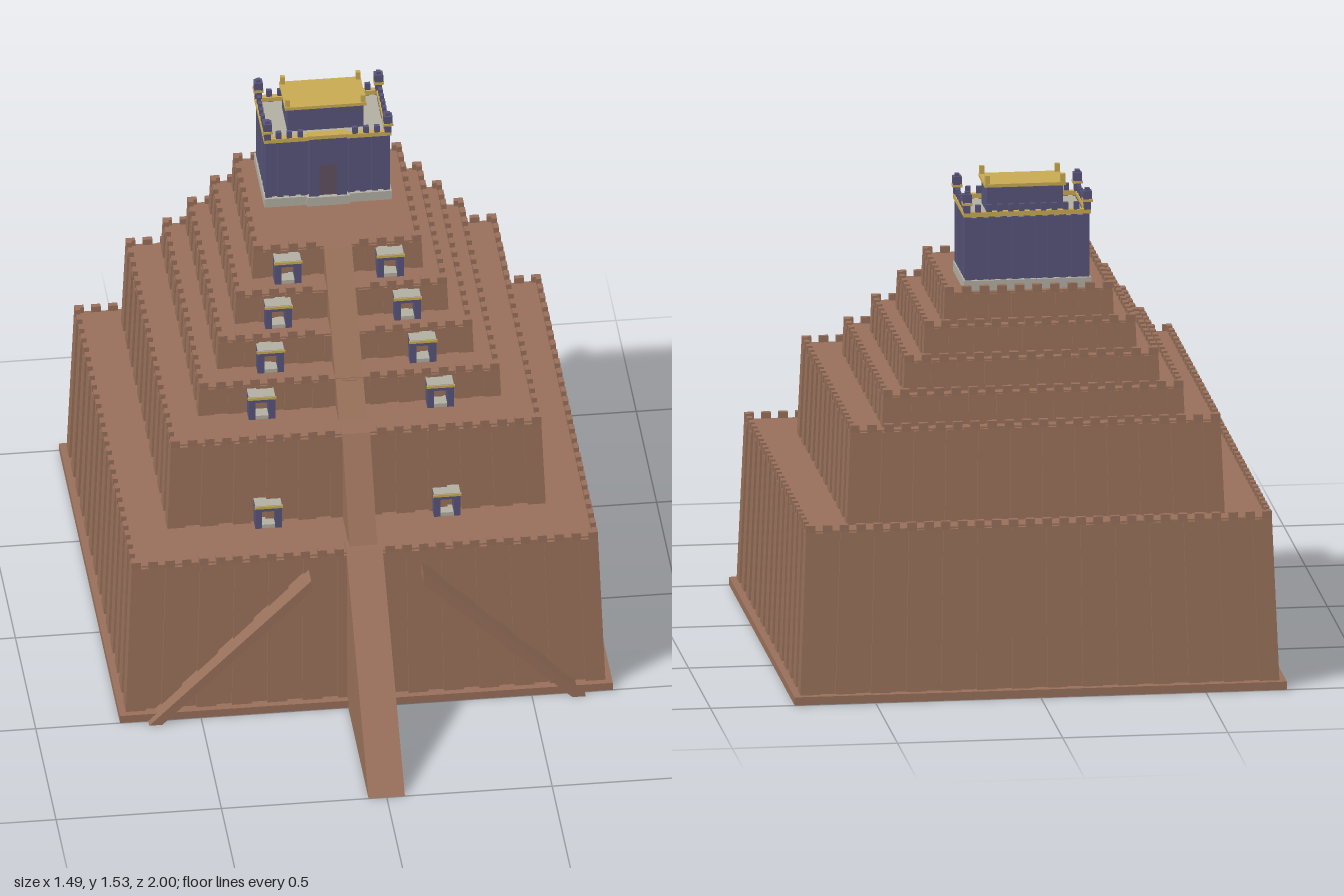
import * as THREE from 'three';
import { mergeGeometries } from 'three/addons/utils/BufferGeometryUtils.js';

const material = (name, color) => {
  const m = new THREE.MeshStandardMaterial({ color });
  m.name = name;
  return m;
};

export function createModel() {
  const brick = material('brick', 0x98705a);
  const indigo = material('indigo glaze', 0x57547a);
  const gold = material('gold', 0xc9aa52);
  const stone = material('pale stone', 0xb2aea2);
  const wood = material('door wood', 0x5f5060);

  const model = new THREE.Group();
  model.name = 'steppedTemple';

  const add = (parent, name, geos, mat) => {
    const mesh = new THREE.Mesh(Array.isArray(geos) ? mergeGeometries(geos) : geos, mat);
    mesh.name = name;
    parent.add(mesh);
    return mesh;
  };
  const group = (parent, name) => {
    const g = new THREE.Group();
    g.name = name;
    parent.add(g);
    return g;
  };
  // Box given by its centre in x and z and its bottom in y
  const box = (w, h, d, x, y, z) => new THREE.BoxGeometry(w, h, d).translate(x, y + h / 2, z);

  // Shrinks a geometry towards the y axis as it rises, so walls lean inwards
  const lean = (geo, h, k) => {
    const p = geo.attributes.position;
    for (let i = 0; i < p.count; i++) {
      const f = 1 - k * p.getY(i) / h;
      p.setX(i, p.getX(i) * f);
      p.setZ(i, p.getZ(i) * f);
    }
    geo.computeVertexNormals();
    return geo;
  };

  // Evenly spaced boxes along all four walls, leaving an optional gap at the front centre
  const rim = (hx, hz, pitch, width, h, depth, y, gap = 0) => {
    const out = [];
    for (const s of [-1, 1]) {
      const nx = Math.round((2 * hx - width) / pitch);
      for (let i = 0; i <= nx; i++) {
        const x = -hx + width / 2 + i * (2 * hx - width) / nx;
        if (s > 0 && Math.abs(x) < gap) continue;
        out.push(box(width, h, depth, x, y, s * (hz - depth / 2)));
      }
      const nz = Math.round((2 * hz - width) / pitch);
      for (let i = 0; i <= nz; i++) {
        const z = -hz + width / 2 + i * (2 * hz - width) / nz;
        out.push(box(depth, h, width, s * (hx - depth / 2), y, z));
      }
    }
    return out;
  };

  // Side profile in (z, y) extruded across x
  const wedge = (points, width) => new THREE.ExtrudeGeometry(
    new THREE.Shape(points.map(([z, y]) => new THREE.Vector2(z, y))),
    { depth: width, bevelEnabled: false },
  ).translate(0, 0, -width / 2).rotateY(-Math.PI / 2);

  add(model, 'plinth', box(1.49, 0.025, 1.5, 0, 0, -0.25), brick);

  // Terraces: bottom, top, half width, half depth, centre z, inward lean, buttress pitch
  const tiers = [
    [0.025, 0.525, 0.725, 0.73, -0.25, 0.02, 0.11],
    [0.525, 0.81, 0.572, 0.572, -0.315, 0.012, 0.1],
    [0.81, 0.905, 0.458, 0.46, -0.373, 0.004, 0.09],
    [0.905, 1.0, 0.388, 0.388, -0.405, 0.004, 0.08],
    [1.0, 1.095, 0.323, 0.323, -0.435, 0.004, 0.08],
    [1.095, 1.19, 0.258, 0.26, -0.467, 0.004, 0.07],
  ];
  tiers.forEach(([y0, y1, hx, hz, cz, inset, pitch], i) => {
    const h = y1 - y0;
    const k = inset / hx;
    const out = i < 2 ? 0.01 : 0.005;
    const tier = group(model, `terrace${i + 1}`);
    tier.position.set(0, y0, cz);
    add(tier, 'terraceBody', lean(box(2 * (hx - out), h, 2 * (hz - out), 0, 0, 0), h, k), brick);
    add(tier, 'buttresses',
      rim(hx, hz, pitch, pitch * 0.55, h - 0.005, 0.03, 0).map((g) => lean(g, h, k)), brick);
    add(tier, 'battlements',
      rim(hx - inset, hz - inset, 0.052, 0.028, 0.025, 0.016, h - 0.006, 0.06), brick);
  });

  // Central ramps climbing the front
  add(model, 'lowerRamp', wedge([[1, 0], [0.45, 0.53], [0.4, 0.53], [0.4, 0]], 0.11), brick);
  add(model, 'middleRamp', wedge([[0.43, 0.525], [0.245, 0.815], [0.2, 0.815], [0.2, 0.525]], 0.084), brick);
  add(model, 'upperRamp', wedge([[0.17, 0.808], [-0.2, 1.192], [-0.25, 1.192], [-0.25, 0.808]], 0.084), brick);

  // Slanted side stairs against the front wall
  for (const s of [-1, 1]) {
    const pts = [[0.66, 0], [0.17, 0.48], [0.17, 0.44], [0.62, 0]].map(([x, y]) => new THREE.Vector2(s * x, y));
    const geo = new THREE.ExtrudeGeometry(new THREE.Shape(pts), { depth: 0.075, bevelEnabled: false });
    add(model, s > 0 ? 'leftStair' : 'rightStair', geo.translate(0, 0, 0.45), brick);
  }

  // Small gatehouses in pairs: x, floor y, back z
  const gates = [
    [0.27, 0.525, 0.25], [0.27, 0.81, 0.088], [0.23, 0.905, -0.018],
    [0.195, 1.0, -0.112], [0.155, 1.095, -0.207],
  ];
  for (const [x, y, z] of gates) {
    for (const s of [-1, 1]) {
      const gate = group(model, 'gatehouse');
      gate.position.set(s * x, y, z + 0.015);
      add(gate, 'gateWalls', [
        box(0.02, 0.06, 0.05, -0.03, 0, 0),
        box(0.02, 0.06, 0.05, 0.03, 0, 0),
        box(0.08, 0.018, 0.05, 0, 0.06, 0),
      ], indigo);
      add(gate, 'gateThreshold', box(0.04, 0.012, 0.046, 0, 0, 0), stone);
      add(gate, 'gateRoof', box(0.08, 0.004, 0.05, 0, 0.077, 0), stone);
      add(gate, 'gateTrim', box(0.086, 0.008, 0.006, 0, 0.071, 0.025), gold);
    }
  }

  // Shrine on the summit
  const shrine = group(model, 'shrine');
  shrine.position.set(0, 1.19, -0.572);
  add(shrine, 'shrineBase', [
    box(0.385, 0.03, 0.255, 0, 0, 0),
    box(0.13, 0.03, 0.03, 0, 0, 0.122),
  ], stone);
  add(shrine, 'shrineWalls', box(0.362, 0.195, 0.228, 0, 0.025, 0), indigo);
  add(shrine, 'shrinePilasters', rim(0.188, 0.12, 0.034, 0.019, 0.2, 0.014, 0.028), indigo);
  add(shrine, 'shrineFloor', box(0.35, 0.005, 0.216, 0, 0.219, 0), stone);
  add(shrine, 'goldCornice', [-1, 1].flatMap((s) => [
    box(0.386, 0.014, 0.018, 0, 0.226, s * 0.114),
    box(0.018, 0.014, 0.21, s * 0.184, 0.226, 0),
  ]), gold);
  // Pointed merlons
  add(shrine, 'shrineMerlons', rim(0.19, 0.122, 0.034, 0.016, 0.024, 0.012, 0.238, 0.06), indigo);

  // Entrance porch
  const porch = group(shrine, 'porch');
  add(porch, 'porchWall', [
    box(0.03, 0.215, 0.02, -0.042, 0.03, 0.12),
    box(0.03, 0.215, 0.02, 0.042, 0.03, 0.12),
    box(0.06, 0.105, 0.02, 0, 0.14, 0.12),
  ], indigo);
  add(porch, 'door', box(0.054, 0.11, 0.006, 0, 0.03, 0.121), wood);
  add(porch, 'porchTrim', box(0.12, 0.012, 0.026, 0, 0.236, 0.12), gold);

  // Corner turrets
  for (const sx of [-1, 1]) {
    for (const sz of [-1, 1]) {
      const turret = group(shrine, 'turret');
      turret.position.set(sx * 0.182, 0.238, sz * 0.114);
      add(turret, 'turretBody', [
        box(0.02, 0.026, 0.02, 0, 0, 0),
        box(0.026, 0.026, 0.026, 0, 0.032, 0),
        box(0.014, 0.008, 0.014, 0, 0.058, 0),
      ], indigo);
      add(turret, 'turretBand', box(0.03, 0.008, 0.03, 0, 0.025, 0), gold);
    }
  }

  // Upper chamber with gold roof and corner posts
  add(shrine, 'upperChamber', box(0.23, 0.085, 0.13, 0, 0.22, -0.004), indigo);
  add(shrine, 'goldRoof', box(0.246, 0.01, 0.145, 0, 0.304, -0.004), gold);
  const posts = [];
  for (const sx of [-1, 1]) {
    for (const sz of [-1, 1]) posts.push(box(0.014, 0.026, 0.014, sx * 0.114, 0.313, -0.004 + sz * 0.063));
  }
  add(shrine, 'roofPosts', posts, gold);

  return model;
}
